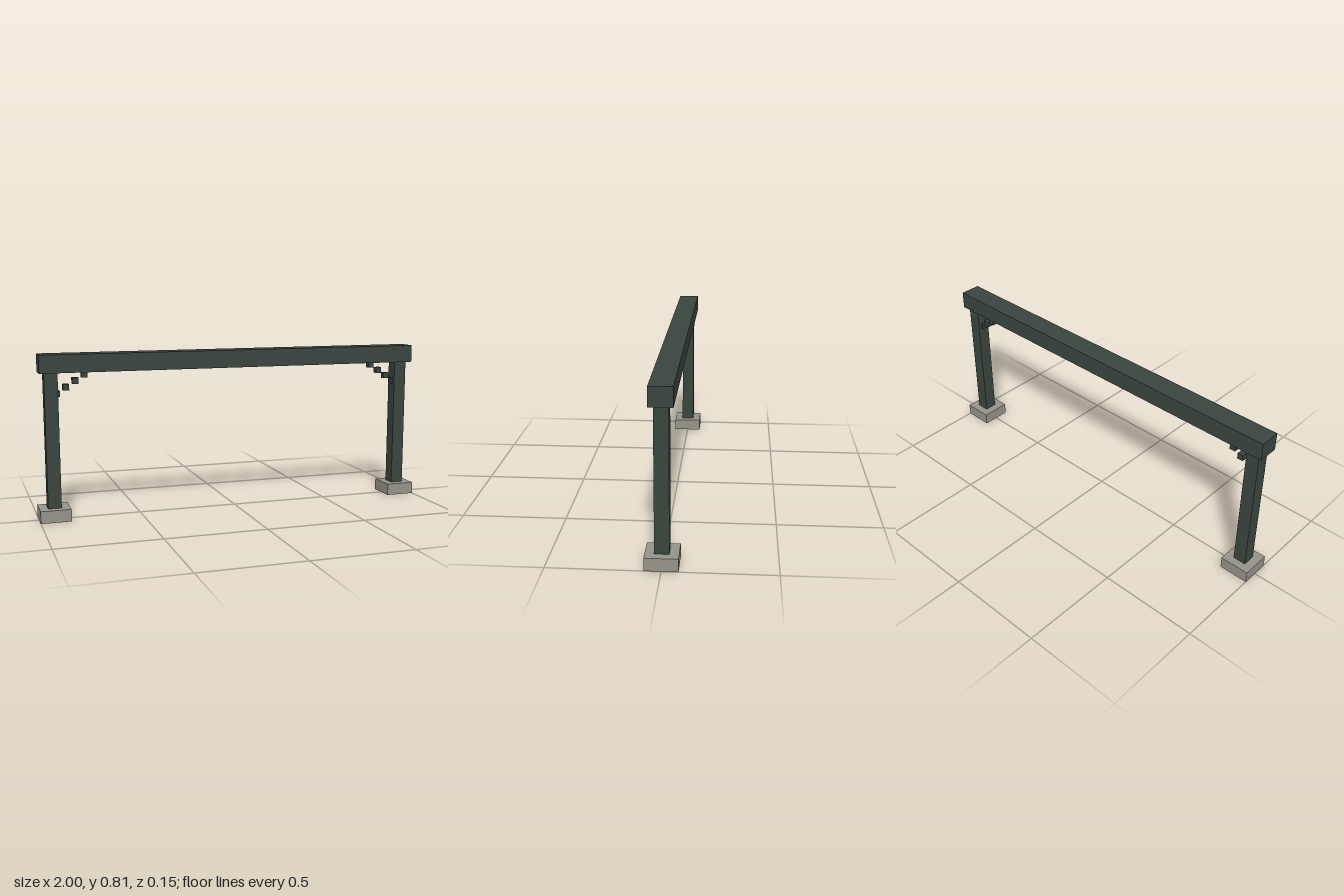
import * as THREE from 'three';

export function createModel() {
  const model = new THREE.Group();
  model.name = 'beamFrame';

  const paint = new THREE.MeshStandardMaterial({ color: 0x3a453f });
  paint.name = 'darkGreenPaint';
  const concrete = new THREE.MeshStandardMaterial({ color: 0x96938a });
  concrete.name = 'greyConcrete';

  // Box given by its centre x, bottom y and size
  function box(name, material, x, bottom, w, h, d) {
    const mesh = new THREE.Mesh(new THREE.BoxGeometry(w, h, d), material);
    mesh.name = name;
    mesh.position.set(x, bottom + h / 2, 0);
    model.add(mesh);
  }

  // Top beam
  box('beam', paint, 0, 0.719, 1.964, 0.088, 0.105);

  for (const [side, s] of [['left', 1], ['right', -1]]) {
    // Footing and post
    box(side + 'Footing', concrete, s * 0.926, 0, 0.148, 0.06, 0.148);
    box(side + 'Post', paint, s * 0.926, 0.06, 0.065, 0.66, 0.065);

    // Stepped corner brace of small blocks, rising from post to beam
    for (let i = 0; i < 4; i++) {
      box(side + 'BraceBlock' + (i + 1), paint, s * (0.898 - i * 0.045), 0.601 + i * 0.03, 0.03, 0.03, 0.03);
    }
  }
  return model;
}
